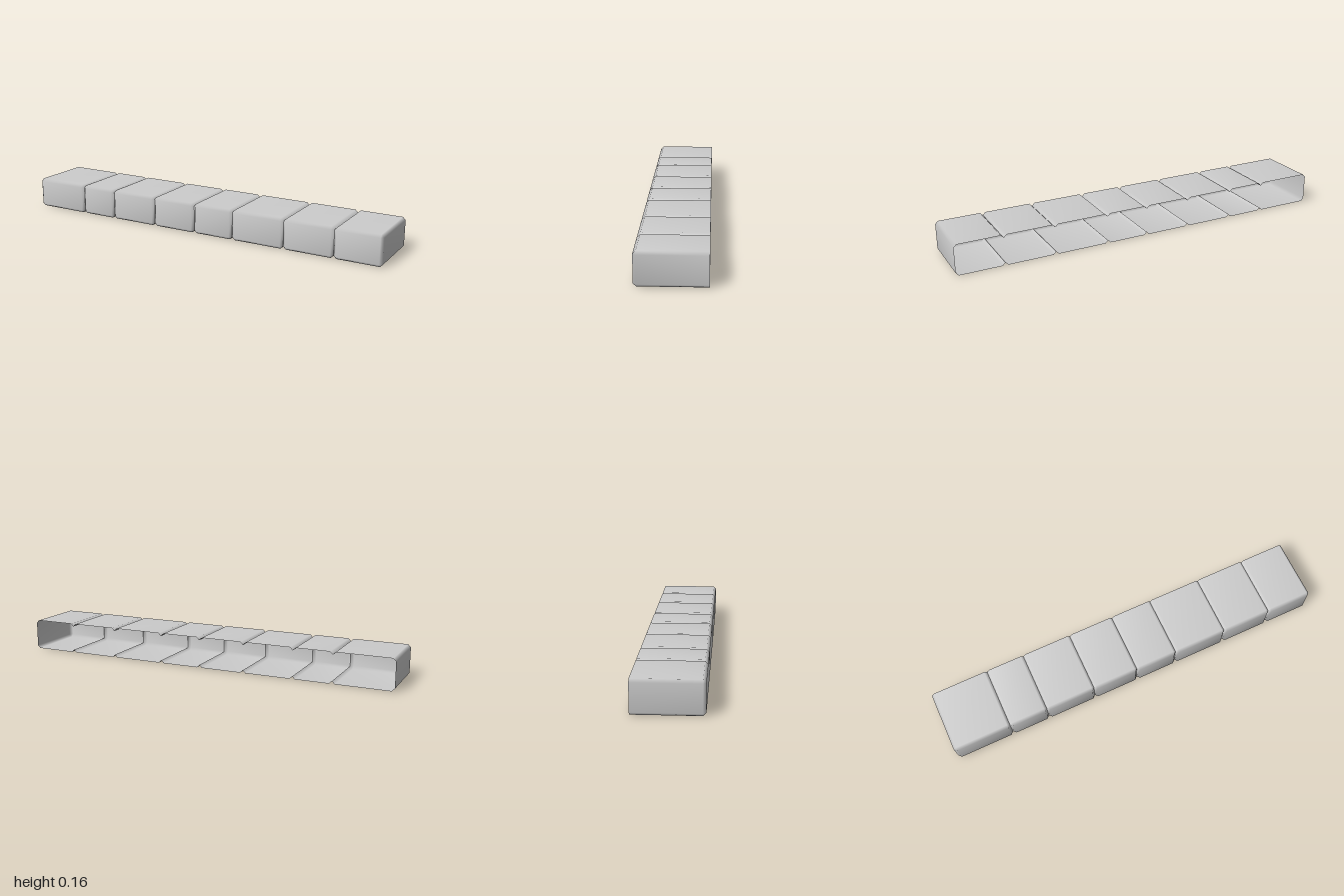
import * as THREE from 'three';
import { mergeVertices } from 'three/addons/utils/BufferGeometryUtils.js';

const H = 0.157, D = 0.16, C = 0.014; // height, half depth, chamfer

// U-shaped cross-section, open at the back, as [z, y] from bottom rim to top rim
const full = [[-D, 0], [D - C, 0], [D, C], [D, H - C], [D - C, H], [-D, H]];
// The same section shrunk by the chamfer; its corners collapse to points
const inset = full.map(([z, y]) => [Math.min(z, D - C), Math.min(Math.max(y, C), H - C)]);

// One hollow chamfered block between x0 and x1, with optional end walls
function blockGeometry(x0, x1, capLeft, capRight) {
  const sections = [[x0, inset], [x0 + C, full], [x1 - C, full], [x1, inset]];
  const n = full.length;
  const positions = sections.flatMap(([x, pts]) => pts.flatMap(([z, y]) => [x, y, z]));
  const index = [];
  for (let i = 0; i < sections.length - 1; i++) {
    for (let j = 0; j < n - 1; j++) {
      const a = i * n + j, b = a + n;
      index.push(a, b, b + 1, a, b + 1, a + 1);
    }
  }
  const e = 3 * n;
  if (capLeft) index.push(0, 1, 3, 0, 3, 5);
  if (capRight) index.push(e, e + 3, e + 1, e, e + 5, e + 3);
  const geometry = new THREE.BufferGeometry();
  geometry.setAttribute('position', new THREE.Float32BufferAttribute(positions, 3));
  geometry.setIndex(index);
  const merged = mergeVertices(geometry);
  // Drop the triangles that collapsed at the corners
  const idx = merged.index.array, kept = [];
  for (let i = 0; i < idx.length; i += 3) {
    const [a, b, c] = [idx[i], idx[i + 1], idx[i + 2]];
    if (a !== b && b !== c && c !== a) kept.push(a, b, c);
  }
  merged.setIndex(kept);
  merged.computeVertexNormals();
  return merged;
}

export function createModel() {
  const group = new THREE.Group();
  group.name = 'blockRow';
  const material = new THREE.MeshStandardMaterial({ color: 0xcccccc, side: THREE.DoubleSide });

  // Joints between the blocks along x
  const joints = [-1, -0.7, -0.5, -0.24, 0, 0.22, 0.5, 0.76, 1];
  const last = joints.length - 2;
  for (let i = 0; i <= last; i++) {
    const block = new THREE.Mesh(blockGeometry(joints[i], joints[i + 1], i === 0, i === last), material);
    block.name = `block${i + 1}`;
    group.add(block);
  }
  return group;
}
